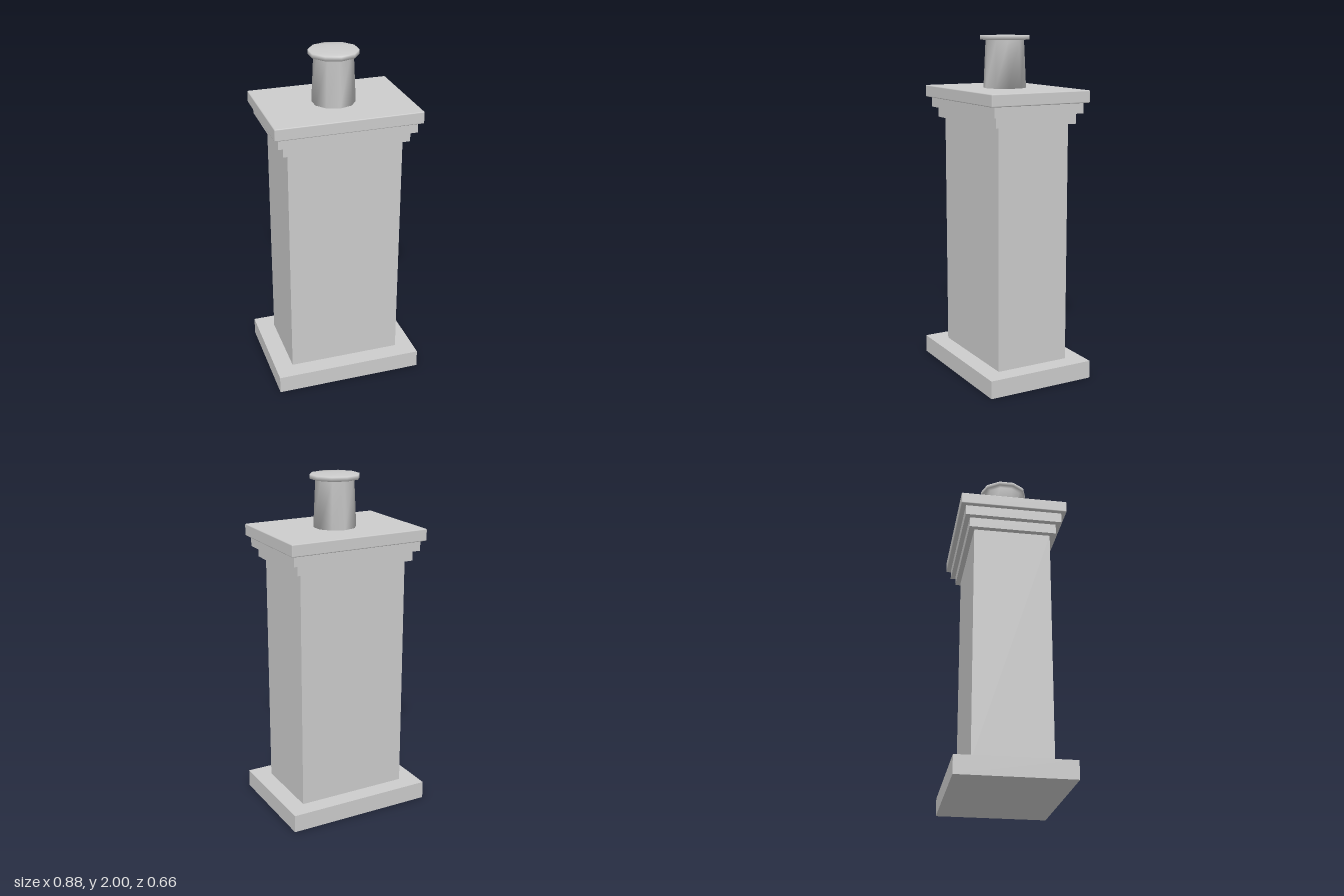
import * as THREE from 'three';
import { RoundedBoxGeometry } from 'three/addons/geometries/RoundedBoxGeometry.js';

// Closed ten-sided pot with shared vertices, so its shading is smooth over the rim and caps
function potGeometry(profile, sides) {
  const pos = [], idx = [];
  for (const [r, y] of profile) {
    for (let j = 0; j < sides; j++) {
      const a = (j / sides) * Math.PI * 2;
      pos.push(r * Math.sin(a), y, -r * Math.cos(a));
    }
  }
  for (let i = 0; i < profile.length - 1; i++) {
    for (let j = 0; j < sides; j++) {
      const k = (j + 1) % sides;
      const a = i * sides + j, b = i * sides + k;
      const c = a + sides, d = b + sides;
      idx.push(b, a, c, b, c, d);
    }
  }
  // caps: strips zigzagging from the back vertex to the front one
  const strip = [0];
  for (let j = 1; j < sides / 2; j++) strip.push(j, sides - j);
  strip.push(sides / 2);
  const top = (profile.length - 1) * sides;
  for (let i = 0; i < strip.length - 2; i++) {
    let [a, b, c] = strip.slice(i, i + 3);
    if (i % 2 === 0) [b, c] = [c, b];
    idx.push(top + a, top + b, top + c, a, c, b);
  }
  const g = new THREE.BufferGeometry();
  g.setAttribute('position', new THREE.Float32BufferAttribute(pos, 3));
  g.setIndex(idx);
  g.computeVertexNormals();
  return g;
}

export function createModel() {
  const model = new THREE.Group();
  model.name = 'chimney';
  const stone = new THREE.MeshStandardMaterial({ color: 0xcccccc });
  stone.name = 'light grey stone';

  const add = (name, geometry, y = 0) => {
    const mesh = new THREE.Mesh(geometry, stone);
    mesh.name = name;
    mesh.position.y = y;
    model.add(mesh);
  };
  const block = (name, w, d, y0, y1) =>
    add(name, new THREE.BoxGeometry(w, y1 - y0, d), (y0 + y1) / 2);

  // plinth, shaft and stepped courses
  block('plinth', 0.884, 0.66, 0, 0.105);
  block('shaft', 0.67, 0.45, 0.105, 1.51);
  block('lowerCourse', 0.735, 0.512, 1.51, 1.57);
  block('upperCourse', 0.8, 0.568, 1.57, 1.63);

  // capping slab with slightly softened edges
  add('cappingSlab', new RoundedBoxGeometry(0.85, 0.07, 0.626, 1, 0.006), 1.665);

  // tapered pot with an overhanging rim
  add('pot', potGeometry([[0.125, 1.7], [0.112, 1.975], [0.143, 1.975], [0.143, 2]], 10));

  return model;
}
